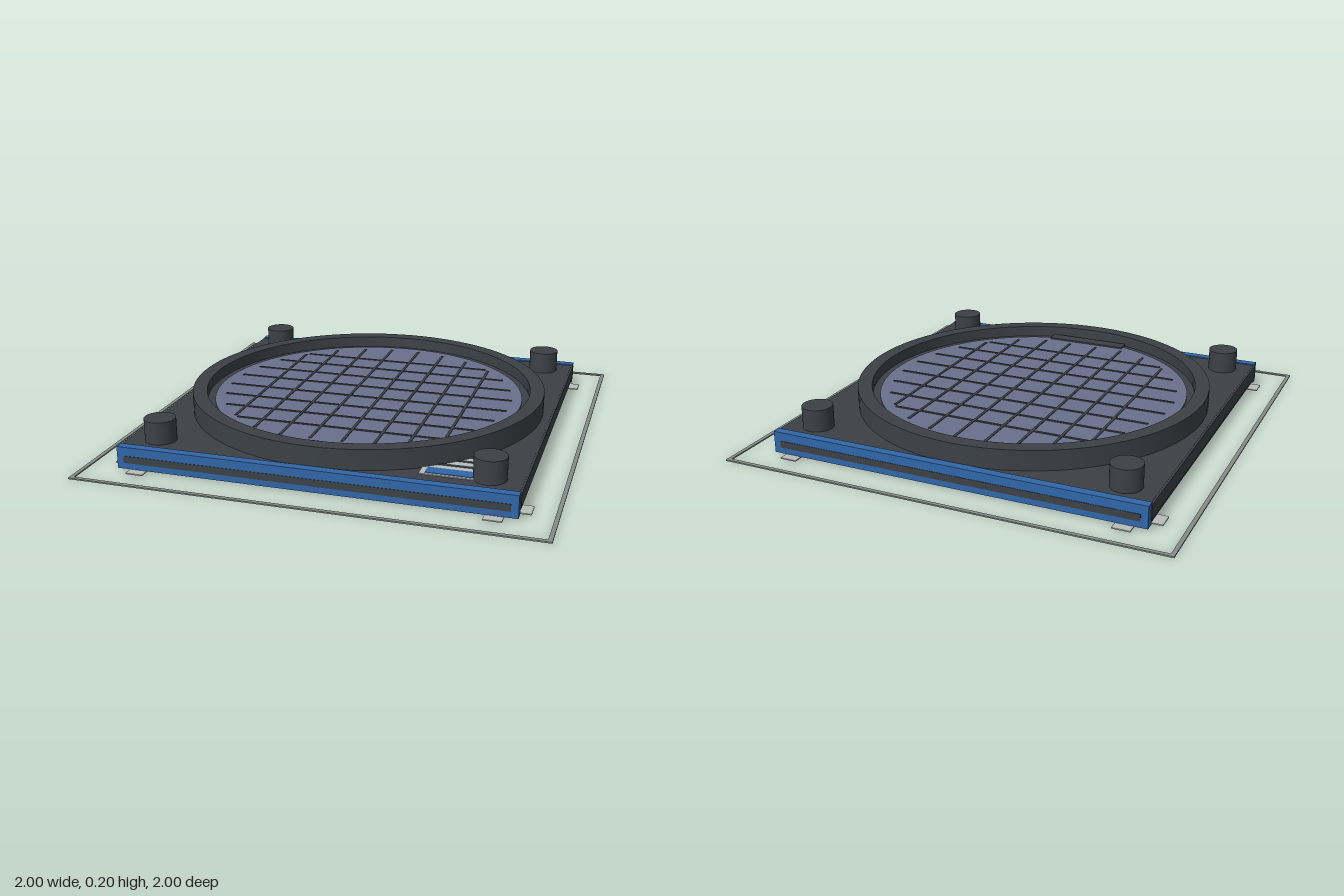
import * as THREE from 'three';
import { toCreasedNormals } from 'three/addons/utils/BufferGeometryUtils.js';

const mat = (name, color) => {
  const m = new THREE.MeshStandardMaterial({ color });
  m.name = name;
  return m;
};

export function createModel() {
  const dark = mat('charcoal', 0x3c4146);
  const blue = mat('blue', 0x2f66a8);
  const slate = mat('slate violet', 0x6b708c);
  const light = mat('light grey', 0xb8bcba);
  const grey = mat('mid grey', 0x868c8a);

  const model = new THREE.Group();
  model.name = 'waferTray';

  const add = (name, geometry, material, x = 0, y = 0, z = 0) => {
    const mesh = new THREE.Mesh(geometry, material);
    mesh.name = name;
    mesh.position.set(x, y, z);
    model.add(mesh);
    return mesh;
  };
  // Box given by its limits on each axis
  const box = (name, material, [x0, x1], [y0, y1], [z0, z1]) =>
    add(name, new THREE.BoxGeometry(x1 - x0, y1 - y0, z1 - z0), material,
      (x0 + x1) / 2, (y0 + y1) / 2, (z0 + z1) / 2);
  const disc = (name, material, r, y0, y1, x = 0, z = 0, sides = 96) =>
    add(name, new THREE.CylinderGeometry(r, r, y1 - y0, sides), material, x, (y0 + y1) / 2, z);

  // Base slab, side strips and blue rails with a recessed-looking stripe
  box('basePlate', dark, [-0.845, 0.845], [0.01, 0.1], [-0.812, 0.812]);
  for (const s of [-1, 1]) {
    const span = (a, b) => (s > 0 ? [a, b] : [-b, -a]);
    box('sideStrip', dark, span(0.84, 0.854), [0.035, 0.099], [-0.82, 0.82]);
    box('rail', blue, [-0.85, 0.85], [0.008, 0.105], span(0.81, 0.85));
    box('railStripe', dark, [-0.82, 0.82], [0.035, 0.066], span(0.848, 0.852));
  }

  // Raised ring around the wafer seat
  const profile = [[0.745, 0.1], [0.81, 0.1], [0.81, 0.19], [0.745, 0.19], [0.745, 0.1]]
    .map(([r, y]) => new THREE.Vector2(r, y));
  add('ring', toCreasedNormals(new THREE.LatheGeometry(profile, 96), 0.6), dark);
  disc('waferSeat', dark, 0.75, 0.09, 0.138);
  disc('wafer', slate, 0.71, 0.136, 0.145);
  box('waferFlat', dark, [-0.197, 0.197], [0.14, 0.152], [0.655, 0.715]);

  // Dicing lines on the wafer
  const lines = [[0.07, 0.66], [0.205, 0.63], [0.34, 0.57], [0.475, 0.46]];
  const w = 0.006;
  for (const [offset, half] of lines) {
    for (const p of [-offset, offset]) {
      box('waferLineAcross', dark, [-half, half], [0.144, 0.148], [p - w, p + w]);
      box('waferLineDeep', dark, [p - w, p + w], [0.144, 0.148], [-half, Math.min(half, 0.62)]);
    }
  }

  // Corner pegs, and crossed tabs beneath each corner
  for (const sx of [-1, 1]) {
    for (const sz of [-1, 1]) {
      disc('cornerPeg', dark, 0.068, 0.095, 0.2, sx * 0.712, sz * 0.712, 40);
      const c = 0.756;
      add('cornerTabAcross', new THREE.BoxGeometry(0.272, 0.005, 0.076), light, sx * c, 0.0055, sz * c);
      add('cornerTabDeep', new THREE.BoxGeometry(0.076, 0.005, 0.272), light, sx * c, 0.006, sz * c);
    }
  }

  // Printed card in the front corner
  box('card', light, [0.43, 0.75], [0.099, 0.104], [0.547, 0.75]);
  box('cardLine', dark, [0.46, 0.68], [0.103, 0.106], [0.578, 0.594]);
  box('cardLine', dark, [0.46, 0.68], [0.103, 0.106], [0.632, 0.648]);
  box('cardBlock', blue, [0.452, 0.665], [0.103, 0.106], [0.682, 0.738]);

  // Thin square outline on the ground
  const outline = new THREE.Shape([[-1, -1], [1, -1], [1, 1], [-1, 1]].map(p => new THREE.Vector2(...p)));
  const i = 0.982;
  outline.holes.push(new THREE.Path([[-i, -i], [-i, i], [i, i], [i, -i]].map(p => new THREE.Vector2(...p))));
  const frame = new THREE.ExtrudeGeometry(outline, { depth: 0.006, bevelEnabled: false });
  frame.rotateX(-Math.PI / 2);
  add('groundOutline', frame, grey);

  return model;
}
